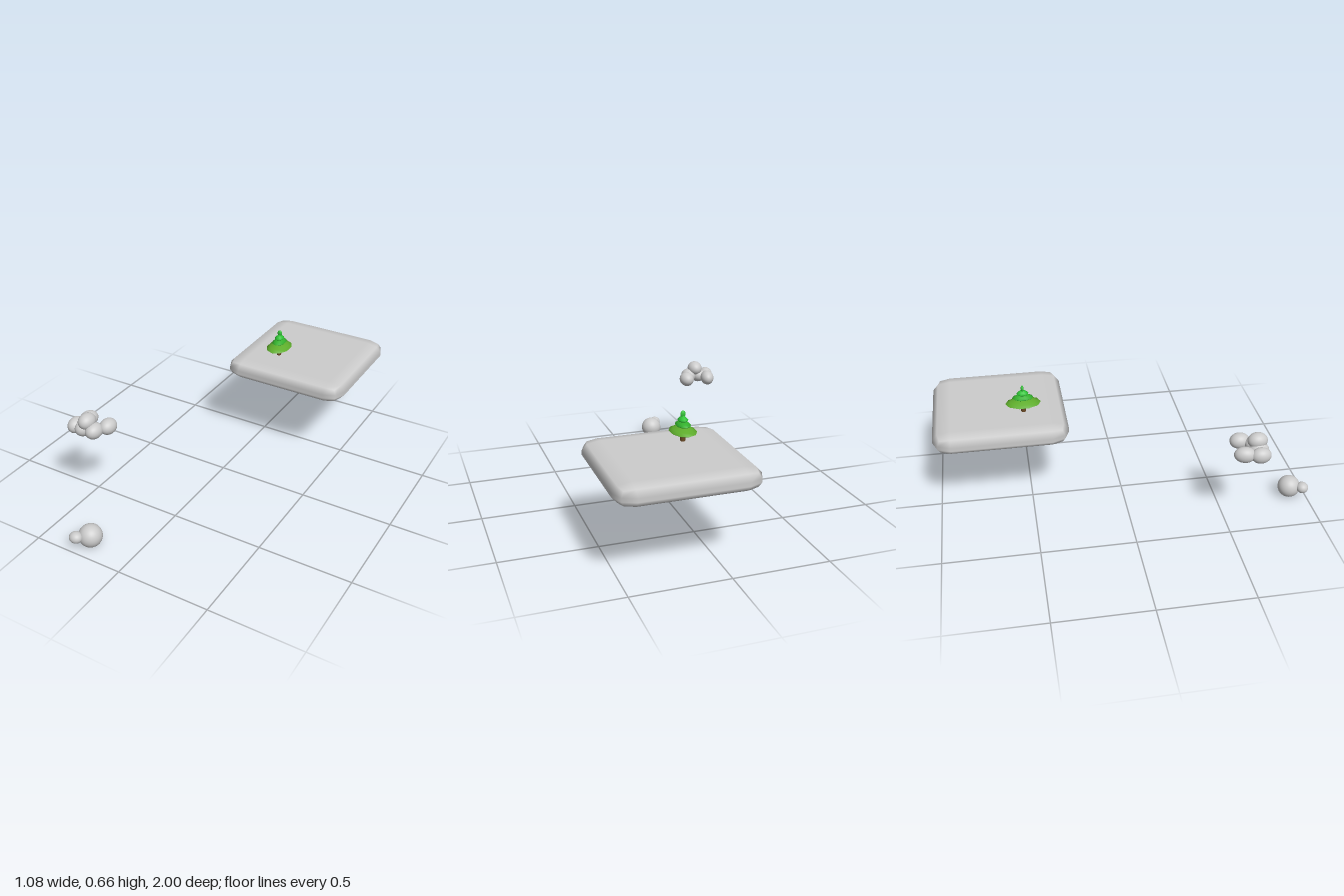
import * as THREE from 'three';
import { RoundedBoxGeometry } from 'three/addons/geometries/RoundedBoxGeometry.js';

const grey = new THREE.MeshStandardMaterial({ color: 0xcccccc });
const material = (color) => new THREE.MeshStandardMaterial({ color });

function add(parent, name, geometry, mat, x, y, z) {
  const mesh = new THREE.Mesh(geometry, mat);
  mesh.name = name;
  mesh.position.set(x, y, z);
  parent.add(mesh);
  return mesh;
}

function ball(parent, name, x, y, z, rx, ry, rz) {
  const mesh = add(parent, name, new THREE.SphereGeometry(1, 32, 20), grey, x, y, z);
  mesh.scale.set(rx, ry, rz);
  return mesh;
}

function group(parent, name) {
  const g = new THREE.Group();
  g.name = name;
  parent.add(g);
  return g;
}

export function createModel() {
  const model = new THREE.Group();
  model.name = 'floatingScene';

  // Floating slab: rounded box flattened in height
  const slab = new RoundedBoxGeometry(0.71, 0.228, 0.71, 1, 0.093);
  slab.scale(1, 0.46, 1);
  add(model, 'platform', slab, grey, 0.187, 0.457, -0.645);

  // Tree: trunk and stacked foliage tiers, stretched along z
  const tree = group(model, 'tree');
  tree.position.set(0.07, 0.5, -0.515);
  add(tree, 'trunk', new THREE.CylinderGeometry(0.013, 0.013, 0.06, 10), material(0x6b4a26), 0, 0.03, 0);

  const lens = [[0, 0], [0.5, 0], [0.87, 0.22], [1, 0.38], [0.72, 0.62], [0.35, 0.9], [0, 1]];
  // bottom, height, half width x, half depth z, colour
  const tiers = [
    [0.045, 0.04, 0.066, 0.094, 0x5fae2c],
    [0.08, 0.035, 0.037, 0.056, 0x33b02c],
    [0.105, 0.033, 0.026, 0.032, 0x2dc234],
  ];
  for (const [y, h, rx, rz, color] of tiers) {
    const profile = lens.map(([r, t]) => new THREE.Vector2(r, t));
    const tier = add(tree, 'foliageTier', new THREE.LatheGeometry(profile, 10), material(color), 0, y, 0);
    tier.scale.set(rx, h, rz);
  }
  const tip = add(tree, 'treeTip', new THREE.SphereGeometry(1, 10, 8), material(0x35c43a), 0, 0.145, 0);
  tip.scale.set(0.014, 0.018, 0.008);

  // Cloud: cluster of overlapping puffs
  const cloud = group(model, 'cloud');
  const puffs = [
    [-0.501, 0.476, 0.627, 0.039],
    [-0.45, 0.476, 0.63, 0.042],
    [-0.388, 0.476, 0.627, 0.042],
    [-0.429, 0.52, 0.626, 0.042],
    [-0.352, 0.476, 0.557, 0.042],
  ];
  for (const [x, y, z, rx] of puffs) ball(cloud, 'puff', x, y, z, rx, 0.042, 0.052);
  ball(cloud, 'puff', -0.482, 0.476, 0.549, 0.039, 0.042, 0.056).rotation.y = -0.2;

  // Ball creature: round body with a small nose in front
  const creature = group(model, 'ballCreature');
  ball(creature, 'body', -0.236, 0.061, 0.906, 0.061, 0.061, 0.061);
  ball(creature, 'nose', -0.279, 0.074, 0.967, 0.035, 0.03, 0.033);

  return model;
}
